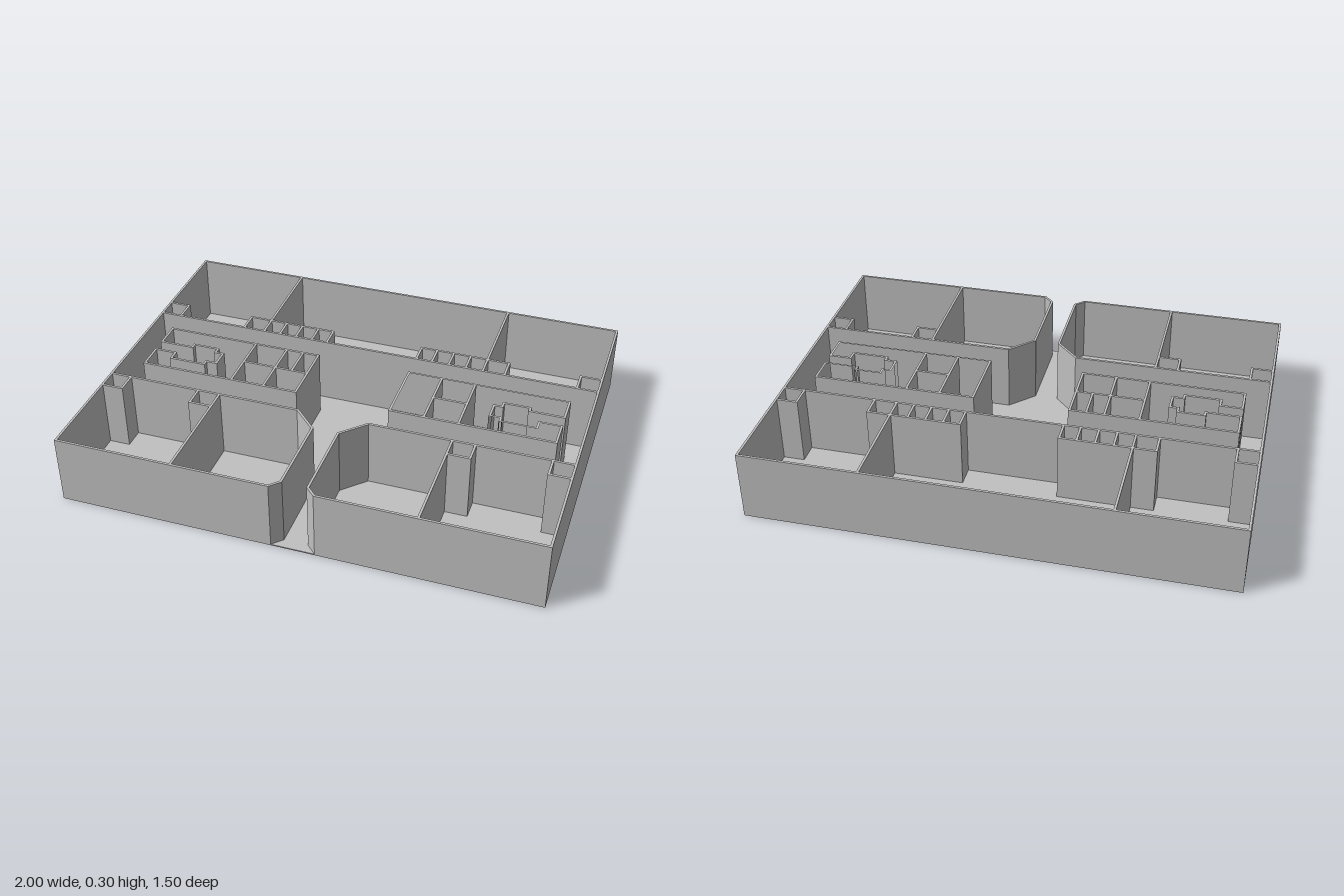
import * as THREE from 'three';

const HEIGHT = 0.3, T = 0.01, FLOOR = 0.005;
const plaster = new THREE.MeshStandardMaterial({ color: 0xc0c0c0 });
plaster.name = 'plaster grey';

// Mitred offset of a plan polyline ([x, z] points) by distance d
function offset(points, d, closed) {
  const n = points.length;
  const normal = (a, b) => {
    const dx = b[0] - a[0], dz = b[1] - a[1], l = Math.hypot(dx, dz);
    return [-dz / l, dx / l];
  };
  return points.map((p, i) => {
    const prev = closed || i > 0 ? points[(i + n - 1) % n] : null;
    const next = closed || i < n - 1 ? points[(i + 1) % n] : null;
    const a = prev ? normal(prev, p) : normal(p, next);
    const b = next ? normal(p, next) : a;
    const k = d / (1 + a[0] * b[0] + a[1] * b[1]);
    return new THREE.Vector2(p[0] + (a[0] + b[0]) * k, -(p[1] + (a[1] + b[1]) * k));
  });
}

// Upright wall following a centre line
function wall(name, points, closed = false) {
  const one = offset(points, T / 2, closed), two = offset(points, -T / 2, closed);
  let shape;
  if (closed) {
    const oneOutside = Math.abs(THREE.ShapeUtils.area(one)) > Math.abs(THREE.ShapeUtils.area(two));
    shape = new THREE.Shape(oneOutside ? one : two);
    shape.holes.push(new THREE.Path(oneOutside ? two : one));
  } else {
    shape = new THREE.Shape([...one, ...two.reverse()]);
  }
  const geo = new THREE.ExtrudeGeometry(shape, { depth: HEIGHT, bevelEnabled: false });
  geo.rotateX(-Math.PI / 2);
  const mesh = new THREE.Mesh(geo, plaster);
  mesh.name = name;
  return mesh;
}

export function createModel() {
  const model = new THREE.Group();
  model.name = 'floorPlan';

  const floor = new THREE.Mesh(new THREE.BoxGeometry(2, FLOOR, 1.5), plaster);
  floor.position.y = FLOOR / 2;
  floor.name = 'floor';
  model.add(floor);

  // Walls spanning the full width
  model.add(wall('backWall', [[-1, -0.745], [1, -0.745]]));
  model.add(wall('backCorridorWall', [[-1, -0.255], [1, -0.255]]));

  for (const s of [1, -1]) {
    const half = new THREE.Group();
    half.name = s > 0 ? 'leftHalf' : 'rightHalf';
    model.add(half);
    const add = (name, pts, closed) => half.add(wall(name, pts.map(([x, z]) => [s * x, z]), closed));

    add('sideWall', [[0.995, -0.75], [0.995, 0.75]]);

    // Front rooms with chamfered corners beside the entrance
    add('frontRoomWall', [[1, 0.745], [0.093, 0.745], [0.055, 0.707], [0.055, 0.353], [0.152, 0.255], [1, 0.255]]);
    add('frontPartition', [[0.5, 0.255], [0.5, 0.745]]);
    add('frontCornerCell', [[0.905, 0.255], [0.905, 0.343], [0.995, 0.343]]);
    add('frontInnerCell', [[0.595, 0.255], [0.595, 0.343], [0.5, 0.343]]);

    // Back rooms and their row of cells
    add('backPartition', [[0.5, -0.745], [0.5, -0.255]]);
    add('backCornerCell', [[0.905, -0.255], [0.905, -0.345], [0.995, -0.345]]);
    add('backCellRow', [[0.595, -0.255], [0.595, -0.345], [0.205, -0.345], [0.205, -0.255]]);
    for (const x of [0.275, 0.35, 0.425]) add('cellDivider', [[x, -0.345], [x, -0.255]]);

    // Central block with a stepped alcove on its outer end
    add('centralBlockWall', [
      [0.205, -0.145], [0.895, -0.145], [0.895, -0.034], [0.75, -0.034],
      [0.75, -0.056], [0.638, -0.056], [0.638, -0.028], [0.603, -0.028],
      [0.603, 0.047], [0.65, 0.047], [0.65, 0.071], [0.803, 0.071],
      [0.803, 0.028], [0.895, 0.028], [0.895, 0.14], [0.205, 0.14],
    ], true);
    for (const x of [0.35, 0.495]) add('blockDivider', [[x, -0.145], [x, 0.14]]);
    add('blockCrossWall', [[s > 0 ? 0.35 : 0.205, -0.003], [0.495, -0.003]]);
    if (s < 0) add('smallRoomDivider', [[0.275, -0.145], [0.275, -0.003]]);
  }
  return model;
}
